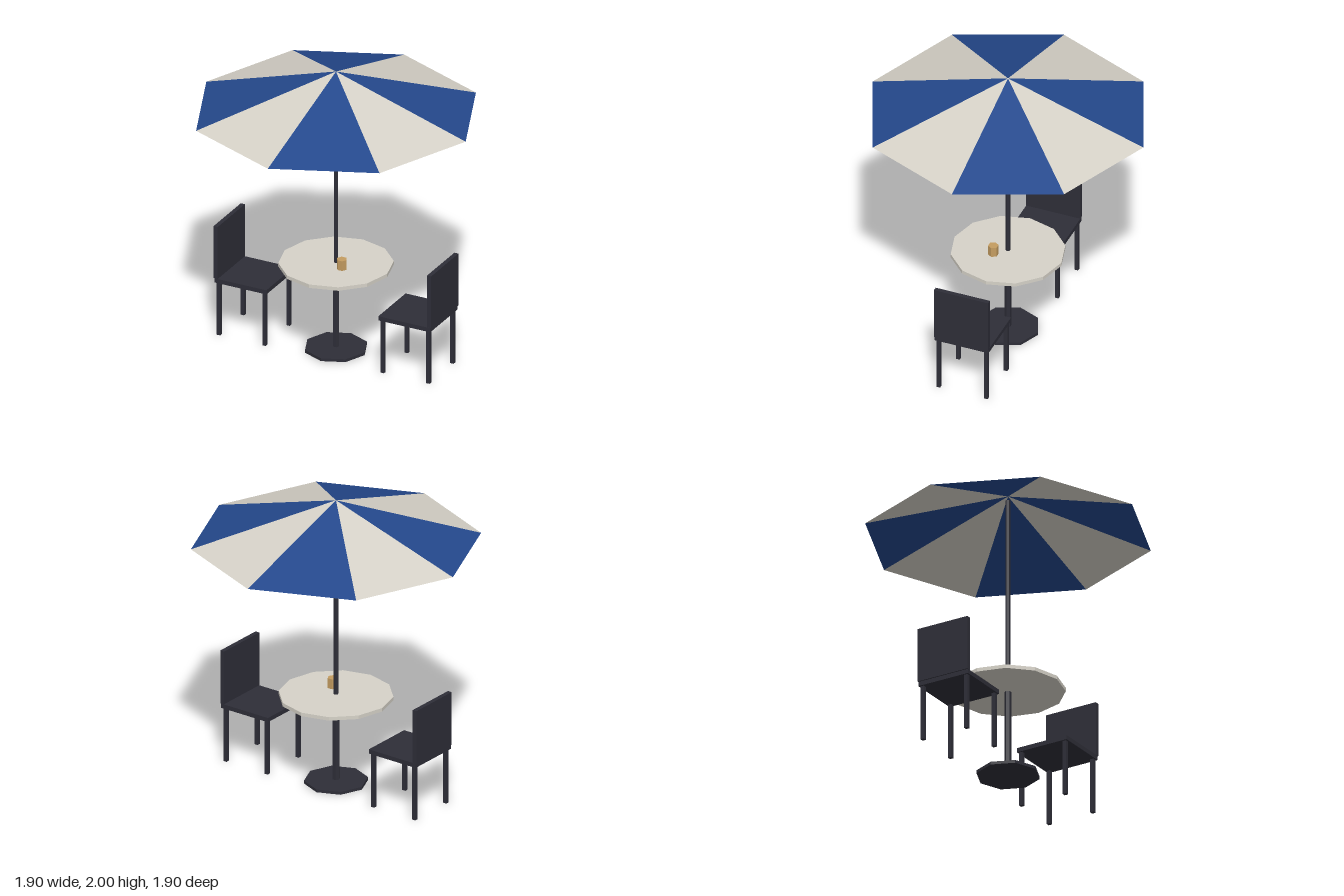
import * as THREE from 'three';

const mat = (name, color, side = THREE.FrontSide) => {
  const m = new THREE.MeshStandardMaterial({ color, flatShading: true, side });
  m.name = name;
  return m;
};

export function createModel() {
  const group = new THREE.Group();
  group.name = 'patioSet';

  const blue = mat('canopyBlue', 0x24488c, THREE.DoubleSide);
  const cream = mat('cream', 0xd6d2c8, THREE.DoubleSide);
  const dark = mat('darkMetal', 0x2e2e38);
  const tan = mat('tanCup', 0xc49c60);

  const add = (parent, name, geometry, material, x, y, z) => {
    const mesh = new THREE.Mesh(geometry, material);
    mesh.name = name;
    mesh.position.set(x, y, z);
    parent.add(mesh);
    return mesh;
  };
  // Upright prism between two heights; six-sided ones have corners on the x axis
  const prism = (name, r, y0, y1, sides, material, x = 0, z = 0) =>
    add(group, name, new THREE.CylinderGeometry(r, r, y1 - y0, sides, 1, false, Math.PI / 2),
      material, x, (y0 + y1) / 2, z);

  // Umbrella canopy: eight alternating flat panels, open underneath
  const canopy = new THREE.Group();
  canopy.name = 'canopy';
  group.add(canopy);
  for (let i = 0; i < 8; i++) {
    const panel = new THREE.ConeGeometry(0.95, 0.29, 1, 1, true, i * Math.PI / 4, Math.PI / 4);
    add(canopy, 'canopyPanel', panel, i % 2 ? cream : blue, 0, 1.855, 0);
  }

  // Pole, table and base
  prism('umbrellaPole', 0.016, 0.61, 1.97, 6, dark);
  prism('tableTop', 0.375, 0.6, 0.625, 12, cream);
  prism('tablePost', 0.023, 0.02, 0.6, 6, dark);
  prism('basePlate', 0.21, 0, 0.02, 8, dark);
  prism('cup', 0.035, 0.625, 0.695, 6, tan, 0.08, 0.07);

  // Two chairs facing the table
  for (const side of [1, -1]) {
    const chair = new THREE.Group();
    chair.name = side > 0 ? 'leftChair' : 'rightChair';
    chair.position.x = side * 0.6;
    group.add(chair);
    add(chair, 'seat', new THREE.BoxGeometry(0.38, 0.03, 0.38), dark, 0, 0.394, 0);
    add(chair, 'backrest', new THREE.BoxGeometry(0.03, 0.375, 0.38), dark, side * 0.182, 0.597, 0);
    for (const x of [-1, 1]) for (const z of [-1, 1])
      add(chair, 'leg', new THREE.BoxGeometry(0.025, 0.38, 0.025), dark, x * 0.167, 0.19, z * 0.167);
  }
  return group;
}
